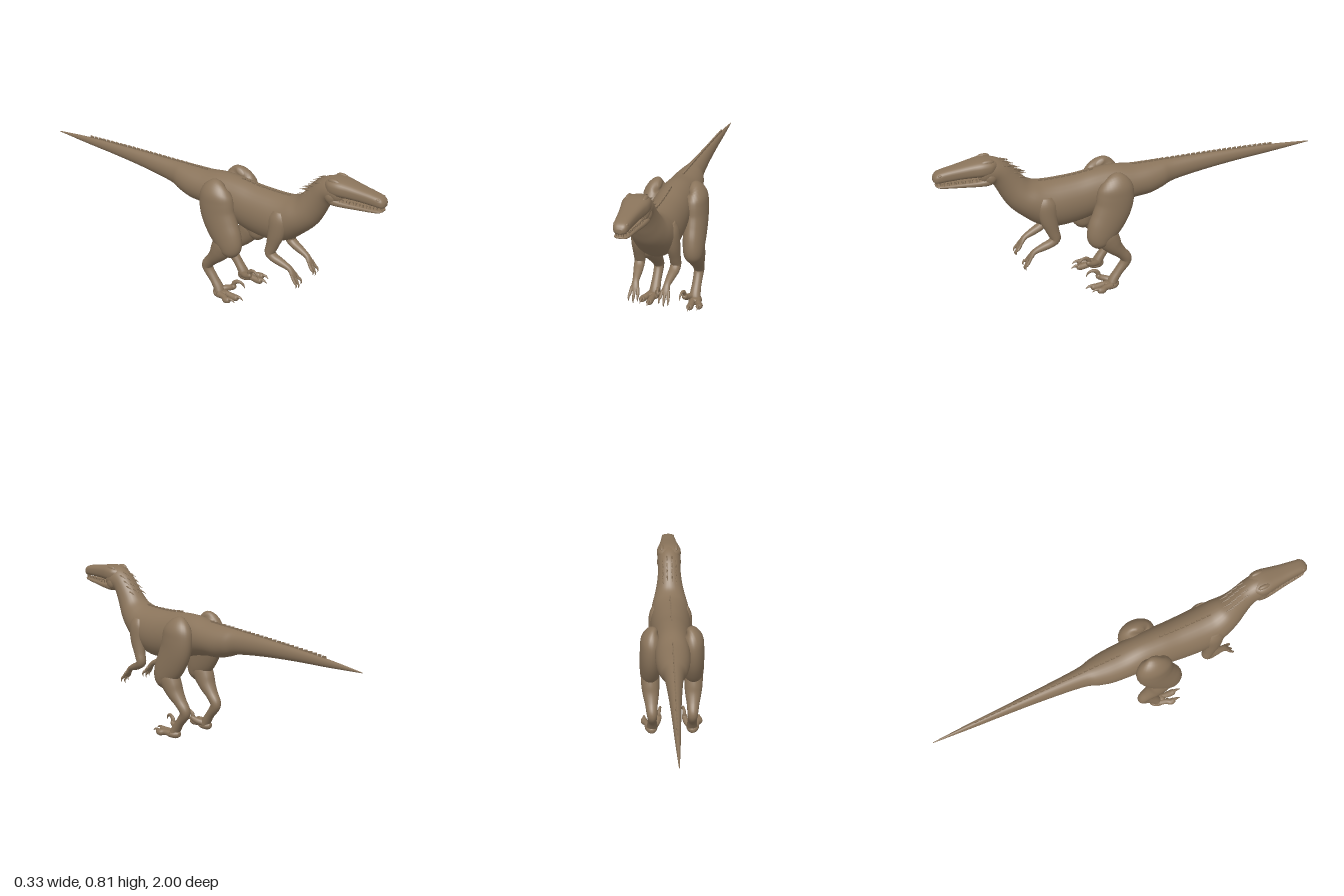
import * as THREE from 'three';

const hide = new THREE.MeshStandardMaterial({ color: 0x8a745b });
hide.name = 'brown hide';

// Smooth interpolation through rows of numbers
function spline(rows, steps) {
  const out = [], n = rows.length;
  for (let i = 0; i < n - 1; i++) {
    const [p0, p1, p2, p3] = [rows[Math.max(i - 1, 0)], rows[i], rows[i + 1], rows[Math.min(i + 2, n - 1)]];
    for (let k = 0; k < steps; k++) {
      const t = k / steps;
      out.push(p1.map((v, c) => {
        const a = (p2[c] - p0[c]) / 2, b = (p3[c] - v) / 2, d = p2[c] - v;
        return v + t * (a + t * (3 * d - 2 * a - b + t * (a + b - 2 * d)));
      }));
    }
  }
  out.push(rows[n - 1]);
  return out;
}

// Closed skin over a list of rings
function skin(rings) {
  const m = rings[0].length, pos = [], idx = [];
  rings.forEach(r => r.forEach(p => pos.push(p.x, p.y, p.z)));
  for (let i = 0; i < rings.length - 1; i++) {
    for (let j = 0; j < m; j++) {
      const a = i * m + j, b = i * m + (j + 1) % m;
      idx.push(a, b, a + m, b, b + m, a + m);
    }
  }
  [0, rings.length - 1].forEach(e => {
    const c = new THREE.Vector3();
    rings[e].forEach(p => c.addScaledVector(p, 1 / m));
    const ci = pos.length / 3;
    pos.push(c.x, c.y, c.z);
    for (let j = 0; j < m; j++) {
      const a = e * m + j, b = e * m + (j + 1) % m;
      if (e) idx.push(a, b, ci); else idx.push(b, a, ci);
    }
  });
  const g = new THREE.BufferGeometry();
  g.setAttribute('position', new THREE.Float32BufferAttribute(pos, 3));
  g.setIndex(idx);
  g.computeVertexNormals();
  return g;
}

// Trunk sections: [z top, y top, z bottom, y bottom, half width]
function trunk(rows, power = 1, sides = 32, steps = 5) {
  const sp = v => Math.sign(v) * Math.abs(v) ** power;
  return skin(spline(rows, steps).map(([zt, yt, zb, yb, w]) => Array.from({ length: sides }, (_, j) => {
    const a = j / sides * Math.PI * 2, s = sp(Math.sin(a)) / 2;
    return new THREE.Vector3(w * sp(Math.cos(a)), (yt + yb) / 2 + s * (yt - yb), (zt + zb) / 2 + s * (zt - zb));
  })));
}

// Limb sections: [x, y, z, half width, half depth]; side mirrors it across x
function limb(rows, side = 1, sides = 16, steps = 5) {
  const pts = spline(rows.map(([x, y, z, r, d = r]) => [x * side, y, z, r, d]), steps);
  const v = p => new THREE.Vector3(p[0], p[1], p[2]);
  return skin(pts.map((p, i) => {
    const t = v(pts[Math.min(i + 1, pts.length - 1)]).sub(v(pts[Math.max(i - 1, 0)])).normalize();
    const n = new THREE.Vector3(1, 0, 0).addScaledVector(t, -t.x).normalize();
    const b = t.clone().cross(n);
    return Array.from({ length: sides }, (_, j) => {
      const a = j / sides * Math.PI * 2;
      return v(p).addScaledVector(n, Math.cos(a) * p[3]).addScaledVector(b, Math.sin(a) * p[4]);
    });
  }));
}

const BODY = [
  [-1, 0.563, -1, 0.559, 0.002], [-0.8, 0.583, -0.8, 0.545, 0.013], [-0.6, 0.596, -0.6, 0.534, 0.022],
  [-0.4, 0.606, -0.4, 0.518, 0.033], [-0.22, 0.613, -0.22, 0.495, 0.048], [-0.15, 0.616, -0.15, 0.472, 0.068],
  [-0.08, 0.618, -0.08, 0.453, 0.082], [0, 0.622, 0, 0.448, 0.088], [0.1, 0.637, 0.1, 0.43, 0.09],
  [0.2, 0.635, 0.2, 0.4, 0.095], [0.3, 0.626, 0.3, 0.378, 0.1], [0.4, 0.624, 0.41, 0.373, 0.105],
  [0.46, 0.626, 0.5, 0.4, 0.104], [0.5, 0.632, 0.575, 0.458, 0.097], [0.54, 0.65, 0.638, 0.52, 0.082],
  [0.575, 0.686, 0.675, 0.58, 0.069], [0.61, 0.726, 0.7, 0.632, 0.062], [0.65, 0.768, 0.722, 0.668, 0.06],
  [0.7, 0.797, 0.75, 0.671, 0.062], [0.75, 0.802, 0.775, 0.677, 0.06], [0.785, 0.785, 0.79, 0.69, 0.04],
];

export function createModel() {
  const model = new THREE.Group();
  model.name = 'dinosaur';
  const add = (name, geo, parent = model) => {
    const mesh = new THREE.Mesh(geo, hide);
    mesh.name = name;
    parent.add(mesh);
    return mesh;
  };
  const group = name => {
    const g = new THREE.Group();
    g.name = name;
    model.add(g);
    return g;
  };

  // Tail, torso and neck in one skin
  add('body', trunk(BODY));

  // Head
  const head = group('head');
  add('upperJaw', trunk([
    [0.69, 0.785, 0.7, 0.73, 0.04], [0.72, 0.8, 0.73, 0.722, 0.061], [0.76, 0.805, 0.77, 0.72, 0.064],
    [0.81, 0.8, 0.82, 0.722, 0.055], [0.87, 0.791, 0.87, 0.723, 0.046], [0.93, 0.783, 0.93, 0.722, 0.039],
    [0.97, 0.775, 0.97, 0.721, 0.035], [0.99, 0.764, 0.99, 0.722, 0.028], [1, 0.748, 1, 0.73, 0.014],
  ], 0.75), head);
  add('lowerJaw', trunk([
    [0.7, 0.72, 0.7, 0.685, 0.045], [0.74, 0.722, 0.74, 0.672, 0.06], [0.79, 0.713, 0.79, 0.674, 0.056],
    [0.87, 0.711, 0.87, 0.682, 0.044], [0.94, 0.711, 0.94, 0.69, 0.036], [0.975, 0.711, 0.975, 0.696, 0.03],
    [0.99, 0.708, 0.99, 0.702, 0.018],
  ], 0.75), head);

  // Teeth along both jaws
  const tooth = new THREE.ConeGeometry(0.0035, 0.018, 6);
  for (let i = 0; i < 12; i++) {
    const z = 0.79 + i * 0.0165;
    const x = 0.052 - (z - 0.79) * 0.125 - Math.max(0, z - 0.96) * 0.5;
    for (const s of [1, -1]) {
      const up = add('upperTooth', tooth, head);
      up.position.set(s * x, 0.717, z);
      up.rotation.x = Math.PI;
      if (i % 2) add('lowerTooth', tooth, head).position.set(s * (x - 0.005), 0.716, z - 0.008);
    }
  }
  for (const x of [-0.016, -0.006, 0.006, 0.016]) {
    const t = add('frontTooth', tooth, head);
    t.position.set(x, 0.715, 0.985);
    t.rotation.x = Math.PI;
  }

  // Brows, eyes, cheeks and nostrils
  const ball = new THREE.SphereGeometry(1, 16, 12);
  for (const s of [1, -1]) {
    for (const [name, x, y, z, a, b, c] of [
      ['brow', 0.038, 0.793, 0.745, 0.012, 0.014, 0.032], ['eye', 0.054, 0.77, 0.765, 0.008, 0.011, 0.013],
      ['cheek', 0.048, 0.715, 0.735, 0.017, 0.03, 0.03], ['nostril', 0.026, 0.763, 0.968, 0.008, 0.006, 0.012],
    ]) {
      const m = add(name, ball, head);
      m.position.set(s * x, y, z);
      m.scale.set(a, b, c);
    }
  }

  // Quills on the back of the neck
  const quills = group('neckQuills');
  for (const [x, k] of [[-0.036, 1], [-0.013, 0], [0.013, 0], [0.036, 1]]) {
    for (let i = 0; i < 4; i++) {
      const z = 0.68 - i * 0.027, y = 0.778 - i * 0.026 - k * 0.014;
      add('quill', limb([[x, y - 0.006, z + 0.02, 0.003], [x, y, z - 0.01, 0.004], [x, y - 0.012, z - 0.052, 0.0006]], 1, 6, 3), quills);
    }
  }

  // Row of scales down the spine
  const scales = group('spineScales');
  const back = spline(BODY, 8);
  const plate = new THREE.BoxGeometry(0.007, 0.014, 0.02);
  for (let z = -0.77; z < 0.5; z += 0.029) {
    if (z > 0.01 && z < 0.2) continue;
    const i = back.findIndex(r => r[0] >= z), a = back[i - 1], b = back[i];
    const m = add('scale', plate, scales);
    m.position.set(0, a[1] + (b[1] - a[1]) * (z - a[0]) / (b[0] - a[0]) + 0.002, z);
    m.rotation.x = 0.12;
  }

  for (const s of [1, -1]) {
    const label = s > 0 ? 'left' : 'right';

    // Arm, hand and claws
    const arm = group(label + 'Arm');
    add('armSkin', limb([
      [0.075, 0.57, 0.475, 0.02, 0.03], [0.083, 0.53, 0.475, 0.03, 0.05], [0.086, 0.46, 0.47, 0.031, 0.045],
      [0.088, 0.39, 0.452, 0.027, 0.032], [0.089, 0.345, 0.44, 0.026, 0.026], [0.087, 0.322, 0.462, 0.025, 0.021],
      [0.082, 0.305, 0.5, 0.021, 0.019], [0.077, 0.285, 0.545, 0.016, 0.013], [0.075, 0.262, 0.565, 0.02, 0.011],
      [0.075, 0.243, 0.577, 0.019, 0.008],
    ], s), arm);
    for (const [x, tx, drop] of [[0.06, 0.052, 0.012], [0.075, 0.074, 0], [0.09, 0.096, 0.008]]) {
      add('finger', limb([[x, 0.262, 0.567, 0.007], [(x + tx) / 2, 0.238, 0.583, 0.0075],
        [tx, 0.217 + drop, 0.594, 0.006], [tx, 0.212 + drop, 0.597, 0.002]], s, 10), arm);
      add('handClaw', limb([[tx, 0.224 + drop, 0.592, 0.005], [tx, 0.208 + drop, 0.601, 0.004],
        [tx, 0.193 + drop, 0.598, 0.0006]], s, 8), arm);
    }

    // Thigh, shin and ankle
    const leg = group(label + 'Leg');
    add('thigh', limb([
      [0.075, 0.622, 0.14, 0.01, 0.02], [0.092, 0.61, 0.135, 0.037, 0.06], [0.103, 0.575, 0.13, 0.054, 0.087],
      [0.106, 0.53, 0.13, 0.057, 0.096], [0.108, 0.47, 0.14, 0.057, 0.096], [0.11, 0.41, 0.167, 0.056, 0.092],
      [0.112, 0.36, 0.197, 0.054, 0.084], [0.114, 0.32, 0.215, 0.05, 0.07], [0.114, 0.285, 0.215, 0.042, 0.052],
      [0.113, 0.26, 0.21, 0.02, 0.025],
    ], s, 28), leg);
    add('shin', limb([
      [0.113, 0.36, 0.21, 0.03, 0.04], [0.113, 0.325, 0.19, 0.047, 0.06], [0.112, 0.28, 0.165, 0.047, 0.056],
      [0.11, 0.24, 0.14, 0.042, 0.043], [0.108, 0.2, 0.106, 0.033, 0.031], [0.106, 0.163, 0.077, 0.028, 0.029],
      [0.105, 0.135, 0.08, 0.025, 0.027], [0.105, 0.09, 0.115, 0.024, 0.022], [0.105, 0.05, 0.143, 0.027, 0.024],
      [0.106, 0.026, 0.155, 0.029, 0.024], [0.106, 0.012, 0.163, 0.016, 0.012],
    ], s, 20), leg);

    // Foot with two walking toes
    const foot = group(label + 'Foot');
    add('heelPad', limb([[0.108, 0.022, 0.118, 0.01], [0.108, 0.022, 0.135, 0.026, 0.02],
      [0.11, 0.021, 0.165, 0.034, 0.02], [0.112, 0.024, 0.19, 0.028, 0.018], [0.112, 0.025, 0.2, 0.012]], s), foot);
    for (const [x, tx, z] of [[0.102, 0.104, 0.265], [0.125, 0.147, 0.245]]) {
      add('toe', limb([[x, 0.024, 0.16, 0.017], [(x + tx) / 2, 0.026, 0.2, 0.015], [tx, 0.022, z - 0.025, 0.017],
        [tx, 0.026, z - 0.005, 0.014], [tx, 0.027, z, 0.005]], s, 14), foot);
      add('toeClaw', limb([[tx, 0.03, z - 0.012, 0.009], [tx, 0.033, z + 0.012, 0.006],
        [tx, 0.022, z + 0.03, 0.001]], s, 8), foot);
    }

    // Raised inner toe with its sickle claw
    add('raisedToe', limb([[0.095, 0.035, 0.15, 0.017], [0.078, 0.043, 0.178, 0.016], [0.07, 0.052, 0.203, 0.015],
      [0.068, 0.062, 0.216, 0.013], [0.068, 0.066, 0.222, 0.005]], s, 14), foot);
    add('sickleClaw', limb([[0.068, 0.055, 0.208, 0.01, 0.012], [0.067, 0.082, 0.216, 0.009, 0.012],
      [0.063, 0.093, 0.24, 0.007, 0.009], [0.059, 0.083, 0.262, 0.005, 0.006],
      [0.057, 0.06, 0.274, 0.0008]], s, 10), foot);
  }
  return model;
}
